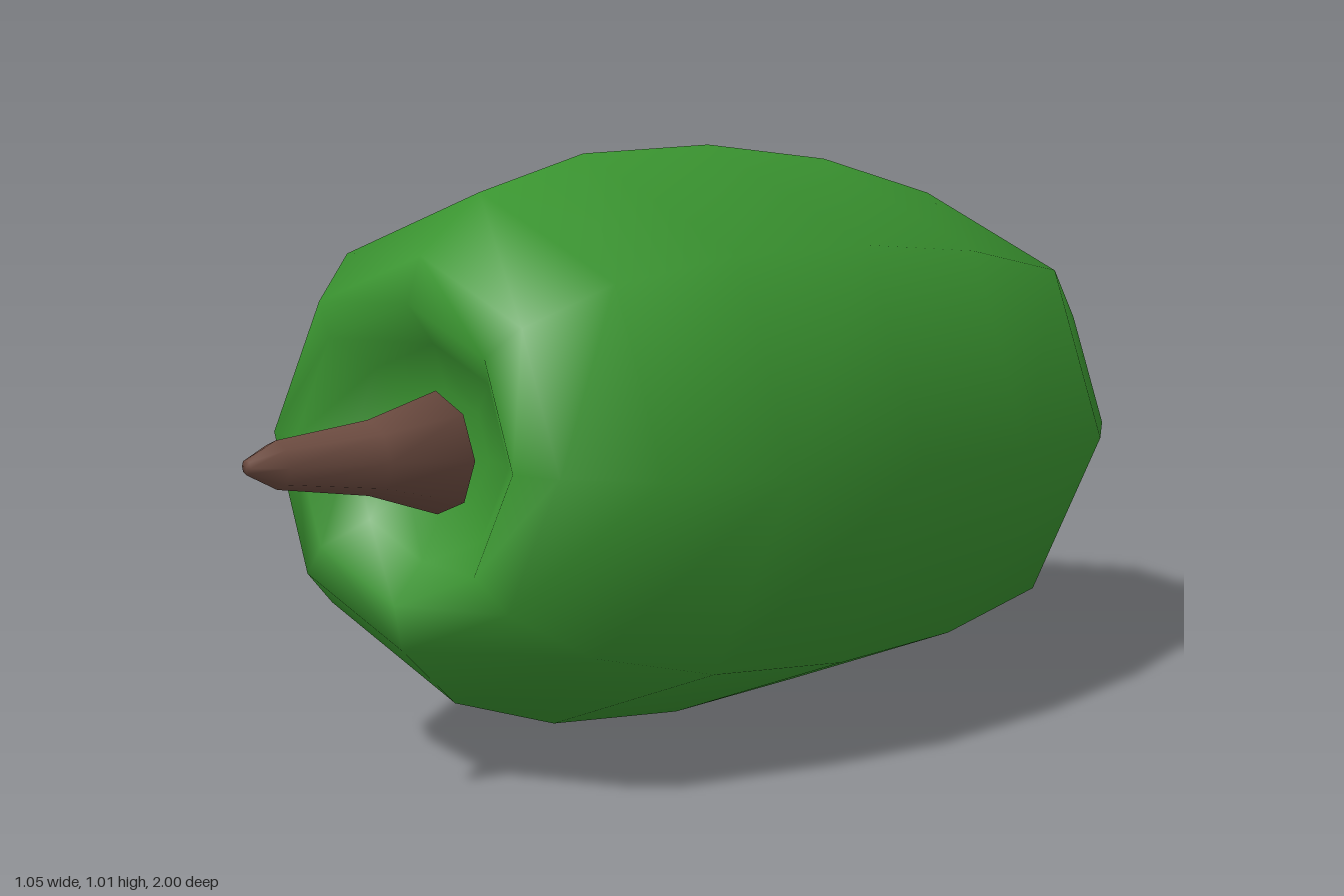
import * as THREE from 'three';
import { mergeVertices } from 'three/addons/utils/BufferGeometryUtils.js';

const SIDES = 8;

// Eight-sided turned form along +z, from [radius, z] pairs, with welded smooth normals
function turned(profile, bend) {
  let geo = new THREE.LatheGeometry(profile.map(([r, z]) => new THREE.Vector2(r, z)), SIDES);
  geo.rotateX(Math.PI / 2);
  geo.deleteAttribute('normal');
  geo.deleteAttribute('uv');
  if (bend) {
    const p = geo.attributes.position;
    for (let i = 0; i < p.count; i++) {
      const [dx, dy] = bend(p.getZ(i));
      p.setXY(i, p.getX(i) + dx, p.getY(i) + dy);
    }
  }
  geo = mergeVertices(geo, 1e-4);
  geo.computeVertexNormals();
  return geo;
}

export function createModel() {
  const group = new THREE.Group();
  const skin = new THREE.MeshStandardMaterial({ color: 0x3a9430 });
  skin.name = 'green skin';
  const wood = new THREE.MeshStandardMaterial({ color: 0x6d4c41 });
  wood.name = 'brown stem';

  // Fruit body: rounded back end, full middle, dimple at the stem end
  const body = new THREE.Mesh(turned([
    [0, -0.98], [0.275, -0.905], [0.42, -0.667], [0.48, -0.335], [0.5, 0],
    [0.48, 0.325], [0.415, 0.57], [0.315, 0.698], [0.24, 0.722],
    [0.175, 0.66], [0.1, 0.625], [0, 0.62],
  ]), skin);
  body.name = 'fruitBody';
  body.position.set(-0.003, 0.507, -0.033);
  // The fruit leans slightly to its left and upwards
  const axis = new THREE.Vector3(0.152, 0.08, 1).normalize();
  body.quaternion.setFromUnitVectors(new THREE.Vector3(0, 0, 1), axis);
  group.add(body);

  // Tapered stem, bending a little towards its tip
  const stem = new THREE.Mesh(turned(
    [[0, 0.59], [0.1, 0.6], [0.06, 0.75], [0.038, 0.94], [0.012, 1.0], [0, 1.0]],
    (z) => {
      const t = (z - 0.6) / 0.4;
      return [0.095 + 0.06 * t, 0.558 + 0.034 * t];
    },
  ), wood);
  stem.name = 'stem';
  group.add(stem);

  return group;
}
